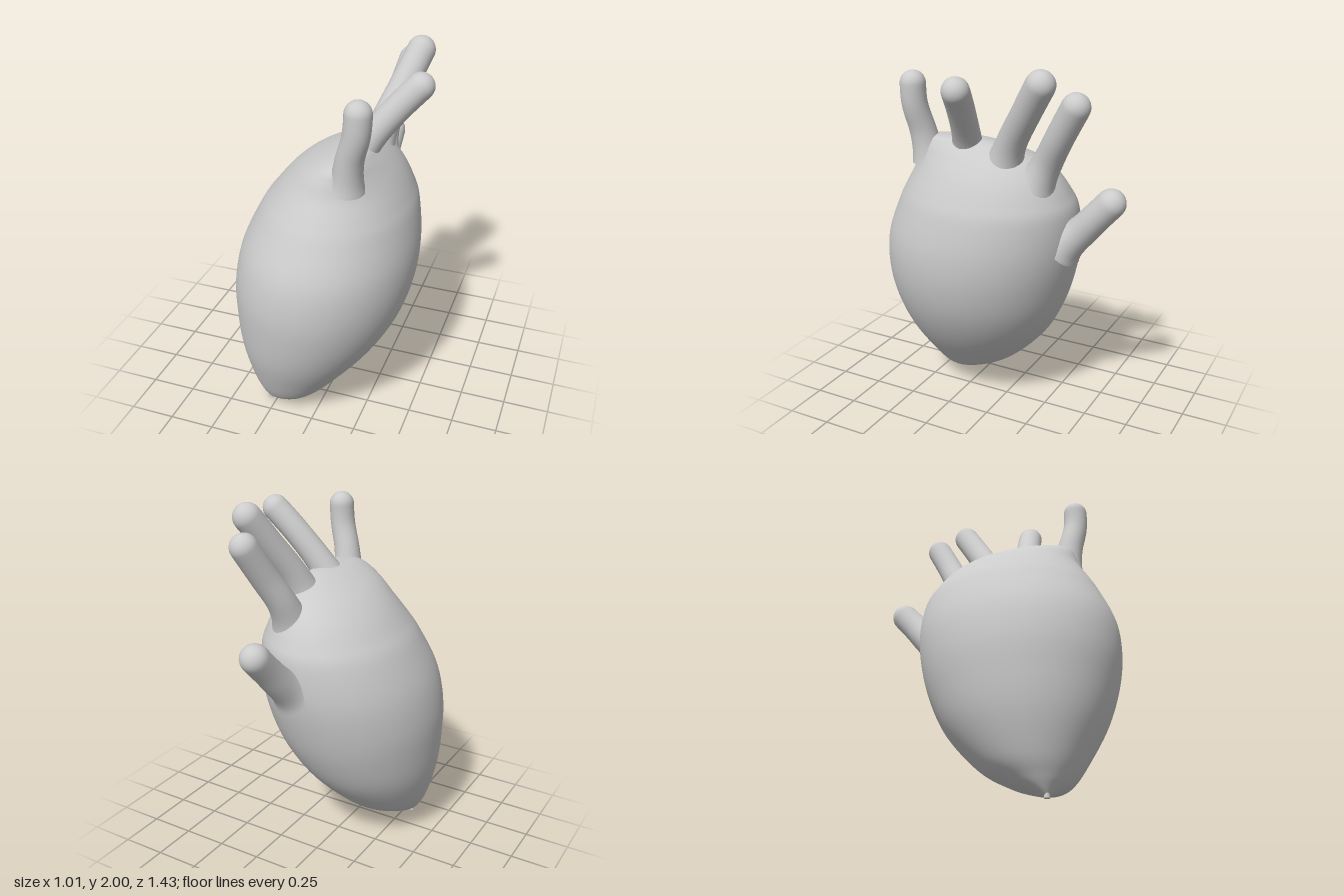
import * as THREE from 'three';

const SEG = 48;
const material = new THREE.MeshStandardMaterial({ color: 0xcccccc, roughness: 0.7 });

// Joins closed rings of points (listed base to tip) into one smooth skin.
function skin(name, rings) {
  const n = rings[0].length, pos = [], index = [];
  rings.forEach((ring) => ring.forEach((p) => pos.push(p.x, p.y, p.z)));
  for (let i = 0; i < rings.length - 1; i++) {
    for (let j = 0; j < n; j++) {
      const a = i * n + j, b = i * n + (j + 1) % n;
      index.push(a, a + n, b, b, a + n, b + n);
    }
  }
  const geo = new THREE.BufferGeometry();
  geo.setAttribute('position', new THREE.Float32BufferAttribute(pos, 3));
  geo.setIndex(index);
  geo.computeVertexNormals();
  const mesh = new THREE.Mesh(geo, material);
  mesh.name = name;
  return mesh;
}

// Balloon-like palm: each row is height, x min, x max, z min, z max.
function palm() {
  const rows = [
    [0.01, -0.295, -0.285, 0.395, 0.405],
    [0.05, -0.33, -0.11, 0.28, 0.455],
    [0.1, -0.365, -0.01, 0.16, 0.5],
    [0.2, -0.42, 0.1, 0.0, 0.555],
    [0.4, -0.48, 0.27, -0.19, 0.64],
    [0.6, -0.505, 0.39, -0.305, 0.69],
    [0.8, -0.508, 0.455, -0.375, 0.712],
    [1.0, -0.47, 0.472, -0.415, 0.69],
    [1.2, -0.38, 0.445, -0.415, 0.605],
    [1.3, -0.31, 0.41, -0.38, 0.55],
    [1.4, -0.225, 0.36, -0.32, 0.49],
    [1.48, -0.13, 0.305, -0.235, 0.46],
    [1.54, -0.02, 0.255, -0.1, 0.43],
    [1.575, 0.07, 0.215, 0.03, 0.36],
    [1.585, 0.145, 0.15, 0.17, 0.2],
  ];
  const curve = (ix, iz) => new THREE.CatmullRomCurve3(
    rows.map((r) => new THREE.Vector3(r[ix], r[0], r[iz])), false, 'catmullrom', 0.5);
  const low = curve(1, 3), high = curve(2, 4), rings = [], steps = 84;
  for (let i = 0; i <= steps; i++) {
    const a = low.getPoint(i / steps), b = high.getPoint(i / steps);
    const c = a.clone().add(b).multiplyScalar(0.5), h = b.sub(a).multiplyScalar(0.5);
    rings.push(Array.from({ length: SEG * 2 }, (_, j) => {
      const t = (j / SEG) * Math.PI;
      return new THREE.Vector3(c.x + h.x * Math.cos(t), c.y, c.z + h.z * Math.sin(t));
    }));
  }
  return skin('palm', rings);
}

// Finger: a bent tube with a flared root and a round tip.
function finger(name, points, r, flare) {
  const path = new THREE.CatmullRomCurve3(points.map((p) => new THREE.Vector3(...p)));
  const L = path.getLength(), stops = [];
  for (let i = 0; i < 24; i++) stops.push((i / 24) * (L - r));
  for (let i = 0; i <= 10; i++) stops.push(L - r + r * Math.sin((i / 10) * Math.PI / 2));
  const side = new THREE.Vector3(1, 0, 0);
  const rings = stops.map((s) => {
    const u = Math.min(s / L, 1), c = path.getPointAt(u), t = path.getTangentAt(u);
    const n = side.clone().addScaledVector(t, -side.dot(t)).normalize();
    const b = new THREE.Vector3().crossVectors(n, t);
    const cap = Math.max(0, s - (L - r));
    const rad = Math.max(0.0005, Math.sqrt(Math.max(0, r * r - cap * cap)))
      + (cap > 0 ? 0 : flare * Math.exp(-s / 0.08));
    return Array.from({ length: SEG / 2 }, (_, j) => {
      const a = (j / SEG) * 4 * Math.PI;
      return c.clone().addScaledVector(n, rad * Math.cos(a)).addScaledVector(b, rad * Math.sin(a));
    });
  });
  return skin(name, rings);
}

export function createModel() {
  const group = new THREE.Group();
  group.name = 'inflatedGlove';
  group.add(palm());

  // Fingers along the knuckle ridge, front to back
  const fingers = [
    ['littleFinger', [[0.16, 1.44, 0.38], [0.185, 1.6, 0.405], [0.225, 1.75, 0.425], [0.235, 1.92, 0.425]], 0.068, 0.03],
    ['ringFinger', [[0.12, 1.46, 0.165], [0.2, 1.6, 0.13], [0.33, 1.77, 0.085], [0.475, 1.93, 0.04]], 0.071, 0.04],
    ['middleFinger', [[0.16, 1.43, -0.06], [0.2, 1.59, -0.13], [0.27, 1.78, -0.25], [0.345, 1.985, -0.385]], 0.075, 0.05],
    ['indexFinger', [[0.14, 1.35, -0.23], [0.155, 1.5, -0.31], [0.2, 1.65, -0.395], [0.255, 1.88, -0.53]], 0.073, 0.05],
    ['thumb', [[0.06, 1.03, -0.36], [0.075, 1.13, -0.47], [0.09, 1.23, -0.56], [0.1, 1.375, -0.69]], 0.077, 0.05],
  ];
  fingers.forEach((f) => group.add(finger(...f)));

  // Small tied-off nub at the bottom
  const nub = new THREE.Mesh(new THREE.CylinderGeometry(0.012, 0.016, 0.025, 10), material);
  nub.name = 'knot';
  nub.position.set(-0.29, 0.0125, 0.4);
  group.add(nub);
  return group;
}
